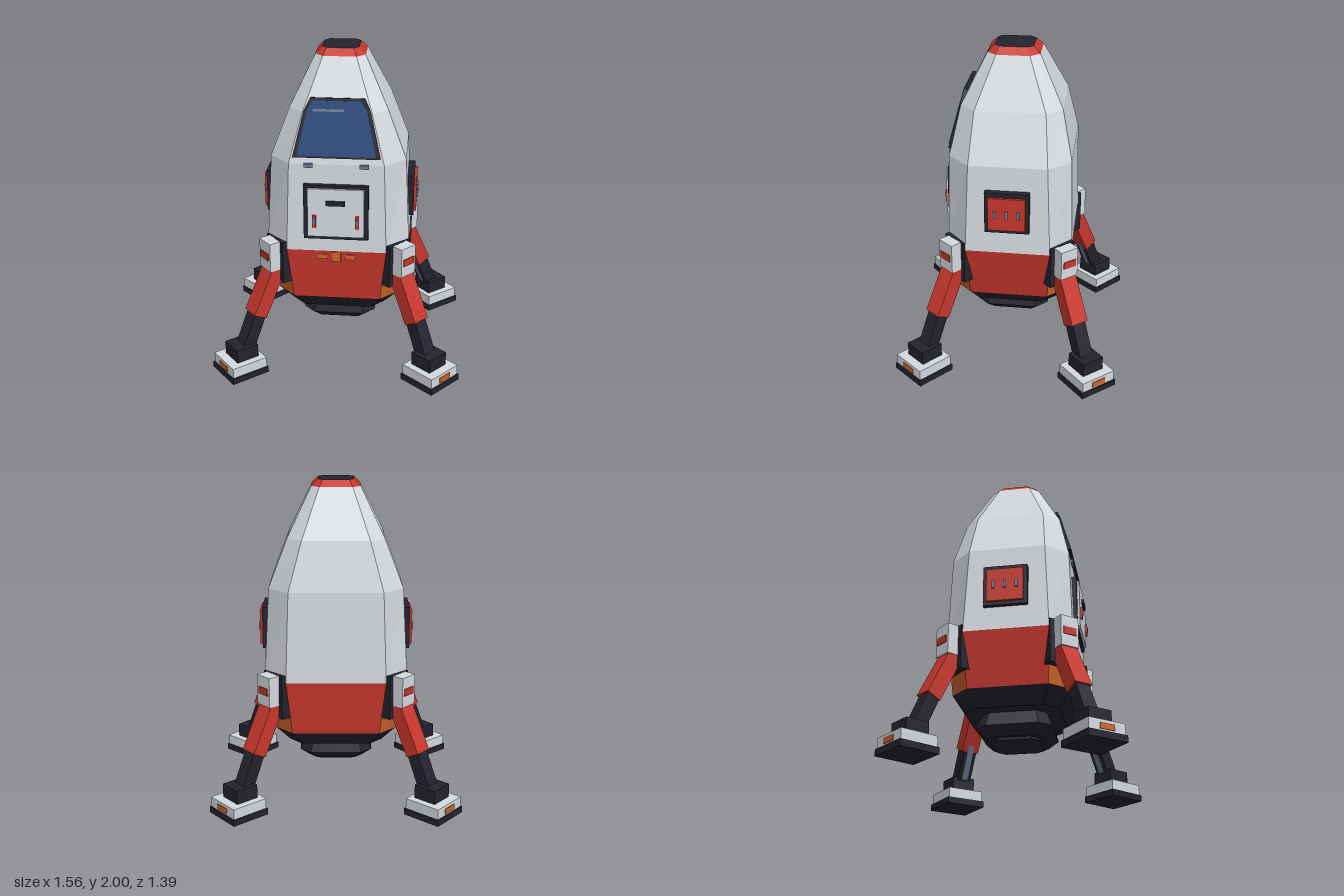
import * as THREE from 'three';

const mat = (name, color) => {
  const m = new THREE.MeshStandardMaterial({ color, flatShading: true });
  m.name = name;
  return m;
};

export function createModel() {
  const white = mat('white hull', 0xd6dadf);
  const red = mat('red paint', 0xc8372d);
  const dark = mat('dark metal', 0x23232e);
  const orange = mat('orange light', 0xcf662c);
  const glass = mat('blue glass', 0x24457a);
  const grey = mat('blue grey', 0x707d94);

  const model = new THREE.Group();
  model.name = 'landingCapsule';

  const add = (parent, name, geo, material, x = 0, y = 0, z = 0) => {
    const m = new THREE.Mesh(geo, material);
    m.name = name;
    m.position.set(x, y, z);
    parent.add(m);
    return m;
  };
  const box = (parent, name, material, w, h, d, x, y, z) =>
    add(parent, name, new THREE.BoxGeometry(w, h, d), material, x, y, z);

  // Chamfered-rectangle loft; each ring is [y, halfX, halfZ, flatHalfX, flatHalfZ], bottom to top
  const loft = (rings, useSide = () => true, caps = true) => {
    const pts = rings.map(([y, hx, hz, fx, fz]) => [
      [fx, y, hz], [hx, y, fz], [hx, y, -fz], [fx, y, -hz],
      [-fx, y, -hz], [-hx, y, -fz], [-hx, y, fz], [-fx, y, hz],
    ]);
    const out = [];
    for (let k = 0; k + 1 < pts.length; k++) {
      for (let i = 0; i < 8; i++) {
        if (!useSide(i)) continue;
        const j = (i + 1) % 8, a = pts[k], b = pts[k + 1];
        out.push(...a[i], ...a[j], ...b[j], ...a[i], ...b[j], ...b[i]);
      }
    }
    if (caps) {
      const lo = pts[0], hi = pts[pts.length - 1];
      for (let i = 1; i < 7; i++) {
        out.push(...hi[0], ...hi[i], ...hi[i + 1], ...lo[0], ...lo[i + 1], ...lo[i]);
      }
    }
    const g = new THREE.BufferGeometry();
    g.setAttribute('position', new THREE.Float32BufferAttribute(out, 3));
    g.computeVertexNormals();
    return g;
  };

  // Hull, from nose to underside
  const nose = [2, 0.11, 0.115, 0.08, 0.08];
  const collar = [1.96, 0.15, 0.157, 0.1, 0.1];
  const waist = [0.8, 0.44, 0.385, 0.305, 0.26];
  const mid = [0.6, 0.402, 0.364, 0.284, 0.251];
  const hem = [0.46, 0.375, 0.35, 0.27, 0.242];
  const isChamfer = (i) => i % 2 === 0;
  add(model, 'upperHull', loft([
    waist, [1.36, 0.41, 0.37, 0.285, 0.237], [1.66, 0.295, 0.305, 0.205, 0.212], collar,
  ], undefined, false), white);
  add(model, 'noseRing', loft([collar, nose], undefined, false), red);
  add(model, 'noseCap', loft([[1.99, ...nose.slice(1).map((v) => v - 0.002)],
    [2, ...nose.slice(1)]]), dark);
  add(model, 'lowerHullPanels', loft([hem, mid, waist], (i) => !isChamfer(i), false), red);
  add(model, 'lowerHullCorners', loft([mid, waist], isChamfer, false), red);
  add(model, 'cornerAccents', loft([hem, mid], isChamfer, false), orange);
  add(model, 'undersideSkirt', loft([[0.365, 0.29, 0.285, 0.21, 0.2], hem]), dark);
  add(model, 'engineNozzle', loft([
    [0.225, 0.17, 0.17, 0.12, 0.12], [0.28, 0.228, 0.228, 0.16, 0.16], [0.37, 0.2, 0.2, 0.14, 0.14],
  ]), dark);
  add(model, 'engineOutlet', loft([
    [0.21, 0.145, 0.145, 0.1, 0.1], [0.23, 0.145, 0.145, 0.1, 0.1],
  ]), dark);

  // Windshield: flat trapezoid plates leaning back
  const windshield = new THREE.Group();
  windshield.name = 'windshield';
  windshield.position.set(0, 1.402, 0.378);
  windshield.rotation.x = -0.2525;
  model.add(windshield);
  const plate = (pairs, depth) => {
    const right = pairs.map(([x, y]) => new THREE.Vector2(x, y));
    const left = pairs.map(([x, y]) => new THREE.Vector2(-x, y)).reverse();
    return new THREE.ExtrudeGeometry(new THREE.Shape([...right, ...left]),
      { depth, bevelEnabled: false });
  };
  add(windshield, 'windowFrame', plate([[0.262, 0], [0.198, 0.278], [0.16, 0.355]], 0.035), dark, 0, 0, -0.035);
  add(windshield, 'windowGlass', plate([[0.236, 0.012], [0.178, 0.276], [0.146, 0.338]], 0.006), glass);
  box(windshield, 'windowGlint', grey, 0.18, 0.014, 0.003, -0.05, 0.282, 0.007);

  // Front hatch
  const hatch = new THREE.Group();
  hatch.name = 'frontHatch';
  model.add(hatch);
  box(hatch, 'hatchFrame', dark, 0.392, 0.35, 0.04, 0, 1.063, 0.382);
  box(hatch, 'hatchDoor', white, 0.34, 0.31, 0.014, 0, 1.065, 0.409);
  box(hatch, 'hatchSlot', dark, 0.116, 0.028, 0.016, 0, 1.132, 0.422);
  for (const s of [-1, 1]) {
    box(hatch, 'hatchHandle', red, 0.022, 0.078, 0.014, s * 0.13, 1.012, 0.422);
    box(hatch, 'hatchHandleGrip', grey, 0.018, 0.032, 0.008, s * 0.13, 1.015, 0.429);
    box(model, 'frontMarker', grey, 0.054, 0.024, 0.016, s * 0.167, 1.353, 0.376);
    box(model, 'sideFrontLight', orange, 0.058, 0.033, 0.012, s * 0.083, 0.76, 0.382);
  }
  box(model, 'centreFrontLight', orange, 0.056, 0.064, 0.014, 0, 0.76, 0.381);

  // Side equipment panels
  for (const s of [-1, 1]) {
    const panel = new THREE.Group();
    panel.name = s > 0 ? 'leftPanel' : 'rightPanel';
    model.add(panel);
    box(panel, 'panelFrame', dark, 0.06, 0.262, 0.27, s * 0.43, 1.08, 0);
    box(panel, 'panelCover', red, 0.018, 0.212, 0.226, s * 0.467, 1.078, 0);
    for (const z of [-0.07, 0, 0.07]) {
      box(panel, 'panelButton', grey, 0.014, 0.048, 0.018, s * 0.478, 1.078, z);
    }
  }

  // Landing legs, each built outward along local +x
  const strut = (leg, name, material, [r0, y0], [r1, y1], thick, wide) => {
    const m = box(leg, name, material, thick, Math.hypot(r1 - r0, y1 - y0), wide,
      (r0 + r1) / 2, (y0 + y1) / 2, 0);
    m.rotation.z = Math.atan2(r0 - r1, y1 - y0);
  };
  const splay = THREE.MathUtils.degToRad(40.8);
  for (const angle of [splay, -splay, Math.PI - splay, Math.PI + splay]) {
    const leg = new THREE.Group();
    leg.name = 'landingLeg';
    leg.rotation.y = angle;
    model.add(leg);
    box(leg, 'mountPlate', dark, 0.075, 0.275, 0.18, 0.474, 0.708, 0);
    box(leg, 'mountBlock', white, 0.085, 0.19, 0.122, 0.542, 0.75, 0);
    box(leg, 'mountLight', red, 0.012, 0.046, 0.088, 0.584, 0.75, 0);
    strut(leg, 'upperStrut', red, [0.665, 0.365], [0.505, 0.685], 0.095, 0.116);
    strut(leg, 'lowerStrut', dark, [0.755, 0.15], [0.645, 0.4], 0.082, 0.092);
    strut(leg, 'strutPiston', grey, [0.7, 0.18], [0.61, 0.385], 0.016, 0.042);
    box(leg, 'ankle', dark, 0.15, 0.09, 0.15, 0.777, 0.146, 0);
    box(leg, 'footPad', white, 0.24, 0.066, 0.24, 0.79, 0.072, 0);
    box(leg, 'footSole', dark, 0.256, 0.04, 0.256, 0.79, 0.02, 0);
    box(leg, 'footLight', orange, 0.012, 0.034, 0.095, 0.909, 0.068, 0);
  }
  return model;
}
